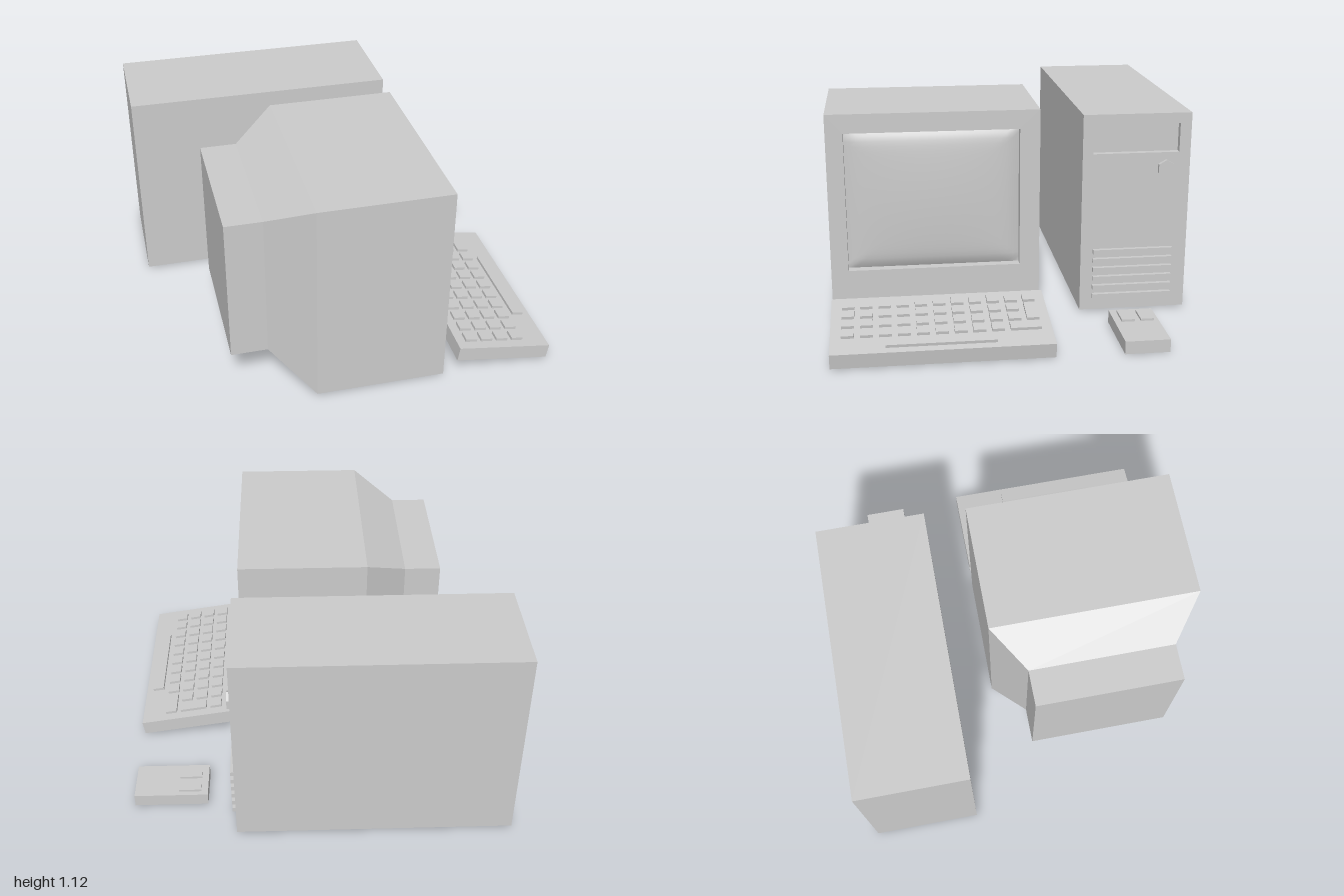
import * as THREE from 'three';

const grey = new THREE.MeshStandardMaterial({ color: 0xcccccc });
const flat = new THREE.MeshStandardMaterial({ color: 0xcccccc, flatShading: true });

function add(parent, name, geometry, material = grey) {
  const mesh = new THREE.Mesh(geometry, material);
  mesh.name = name;
  parent.add(mesh);
  return mesh;
}

// Box given by its limits on each axis
function block(parent, name, [x0, x1], [y0, y1], [z0, z1]) {
  const mesh = add(parent, name, new THREE.BoxGeometry(x1 - x0, y1 - y0, z1 - z0));
  mesh.position.set((x0 + x1) / 2, (y0 + y1) / 2, (z0 + z1) / 2);
  return mesh;
}

// Closed casing through rectangular sections [x, y0, y1, z0, z1], from back to front and into a recess
function casing(sections) {
  const rings = sections.map(([x, y0, y1, z0, z1]) =>
    [[x, y0, z1], [x, y0, z0], [x, y1, z0], [x, y1, z1]]);
  const points = [];
  const quad = (a, b, c, d) => points.push(...a, ...b, ...c, ...a, ...c, ...d);
  for (let i = 0; i < rings.length - 1; i++) {
    for (let j = 0; j < 4; j++) {
      const k = (j + 1) % 4;
      quad(rings[i][j], rings[i][k], rings[i + 1][k], rings[i + 1][j]);
    }
  }
  quad(...[...rings[0]].reverse());
  quad(...rings[rings.length - 1]);
  const geometry = new THREE.BufferGeometry();
  geometry.setAttribute('position', new THREE.Float32BufferAttribute(points, 3));
  geometry.computeVertexNormals();
  return geometry;
}

function createTower() {
  const tower = new THREE.Group();
  tower.name = 'tower';
  add(tower, 'towerCase', casing([
    [-1, 0.01, 1.09, -0.95, -0.375],
    [0.435, 0.01, 1.09, -0.95, -0.375],
    [0.435, 0.88, 1.035, -0.89, -0.43], // drive bay
    [0.4, 0.88, 1.035, -0.89, -0.43],
  ]));
  const knob = add(tower, 'powerButton',
    new THREE.CylinderGeometry(0.047, 0.047, 0.03, 6, 1, false, Math.PI / 2), flat);
  knob.rotation.z = -Math.PI / 2;
  knob.position.set(0.44, 0.795, -0.82);
  for (let i = 0; i < 6; i++) {
    const y = 0.092 + i * 0.0505;
    block(tower, 'ventSlat', [0.425, 0.458], [y - 0.012, y + 0.012], [-0.87, -0.44]);
  }
  return tower;
}

function createMonitor() {
  const monitor = new THREE.Group();
  monitor.name = 'monitor';
  add(monitor, 'monitorCase', casing([
    [-0.68, 0.22, 1.0, 0.01, 0.78],
    [-0.49, 0.22, 1.0, 0.01, 0.78],
    [-0.27, 0.015, 1.12, -0.155, 0.945],
    [0.408, 0.01, 1.12, -0.155, 0.945],
    [0.408, 0.28, 1.02, -0.05, 0.855], // screen opening
    [0.355, 0.28, 1.02, -0.05, 0.855],
  ]));

  // Pillow-shaped glass: steep rim, gently domed middle
  const width = 0.905, height = 0.74;
  const glass = new THREE.PlaneGeometry(width, height, 28, 28);
  const p = glass.attributes.position;
  for (let i = 0; i < p.count; i++) {
    const u = Math.abs(p.getX(i)) / (width / 2), v = Math.abs(p.getY(i)) / (height / 2);
    const rim = 1 - Math.max(u, v) ** 12;
    p.setZ(i, 0.02 * rim + 0.018 * (1 - u * u) * (1 - v * v));
  }
  glass.computeVertexNormals();
  const screen = add(monitor, 'screen', glass);
  screen.rotation.y = Math.PI / 2;
  screen.position.set(0.359, 0.65, 0.4025);
  return monitor;
}

function createKeyboard() {
  // Local frame: x runs down the slope, y = 0 is the top surface
  const keyboard = new THREE.Group();
  keyboard.name = 'keyboard';
  keyboard.position.set(0.494, 0.16, 0);
  keyboard.rotation.z = -0.152;
  block(keyboard, 'keyboardBase', [0, 0.511], [-0.078, 0], [-0.155, 0.945]);

  const key = (name, x, z) => block(keyboard, name, x, [-0.005, 0.015], z);
  const columns = [0.05, 0.137, 0.224, 0.312];
  const size = 0.063, pitch = 0.093, first = -0.102;
  for (let row = 0; row < 11; row++) {
    const z = first + row * pitch;
    columns.forEach((x, c) => {
      // The first rows make room for the wide and long keys
      if ((row === 0 && c > 0) || (row === 1 && c === 3)) return;
      key('key', [x, x + size], [z, z + size]);
    });
  }
  key('wideKey', [columns[1], columns[2] + size], [first, first + size]);
  key('longKey', [columns[3], columns[3] + size], [first, first + pitch + size]);
  key('spaceBar', [0.408, 0.47], [0.13, 0.675]);
  return keyboard;
}

function createMouse() {
  const mouse = new THREE.Group();
  mouse.name = 'mouse';
  block(mouse, 'mouseBody', [0.595, 0.985], [0, 0.068], [-0.73, -0.5]);
  for (const z of [-0.67, -0.57]) {
    block(mouse, 'mouseButton', [0.63, 0.75], [0.06, 0.08], [z - 0.034, z + 0.034]);
  }
  return mouse;
}

export function createModel() {
  const model = new THREE.Group();
  model.name = 'desktopComputer';
  model.add(createTower(), createMonitor(), createKeyboard(), createMouse());
  return model;
}
